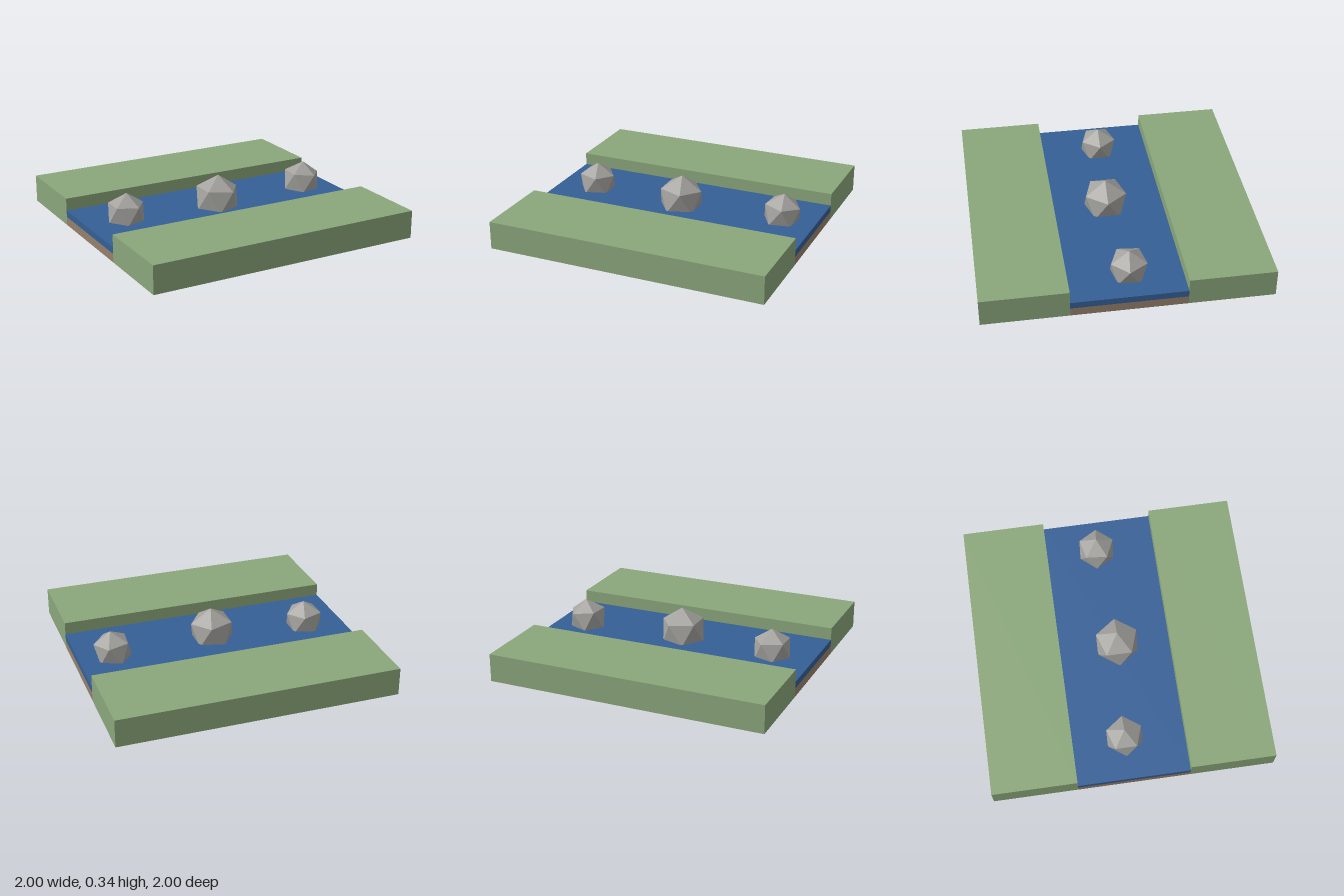
import * as THREE from 'three';

const paint = (color) => new THREE.MeshStandardMaterial({ color, flatShading: true });

export function createModel() {
  const model = new THREE.Group();
  model.name = 'riverTile';
  const grass = paint(0x8aa67a);
  const water = paint(0x355f95);
  const earth = paint(0x96806c);
  const stone = paint(0xa3a29e);

  // Full-length slab between two heights, centred on z
  const slab = (name, material, y0, y1, z, depth) => {
    const mesh = new THREE.Mesh(new THREE.BoxGeometry(2, y1 - y0, depth), material);
    mesh.name = name;
    mesh.position.set(0, (y0 + y1) / 2, z);
    model.add(mesh);
  };

  // Grassy banks on both sides of the channel
  slab('frontBank', grass, 0, 0.2, 0.7, 0.6);
  slab('backBank', grass, 0, 0.2, -0.7, 0.6);

  // River bed with the water on top
  slab('riverBed', earth, 0, 0.062, 0, 0.8);
  slab('water', water, 0.062, 0.11, 0, 0.8);

  // Boulders: icosahedra standing on a corner, slightly turned and tilted
  const boulder = (name, x, y, z, radius, turn, tilt) => {
    const geometry = new THREE.IcosahedronGeometry(radius, 0);
    geometry.rotateZ(-Math.atan2(2, 1 + Math.sqrt(5)));
    geometry.rotateY(-turn);
    geometry.rotateZ(-tilt);
    const mesh = new THREE.Mesh(geometry, stone);
    mesh.name = name;
    mesh.position.set(x, y, z);
    model.add(mesh);
  };
  boulder('middleBoulder', 0, 0.168, 0.018, 0.172, 0, 0.05);
  boulder('rightBoulder', -0.702, 0.161, -0.03, 0.145, 0, 0.04);
  boulder('leftBoulder', 0.755, 0.165, -0.03, 0.145, 0.09, 0.09);

  return model;
}
